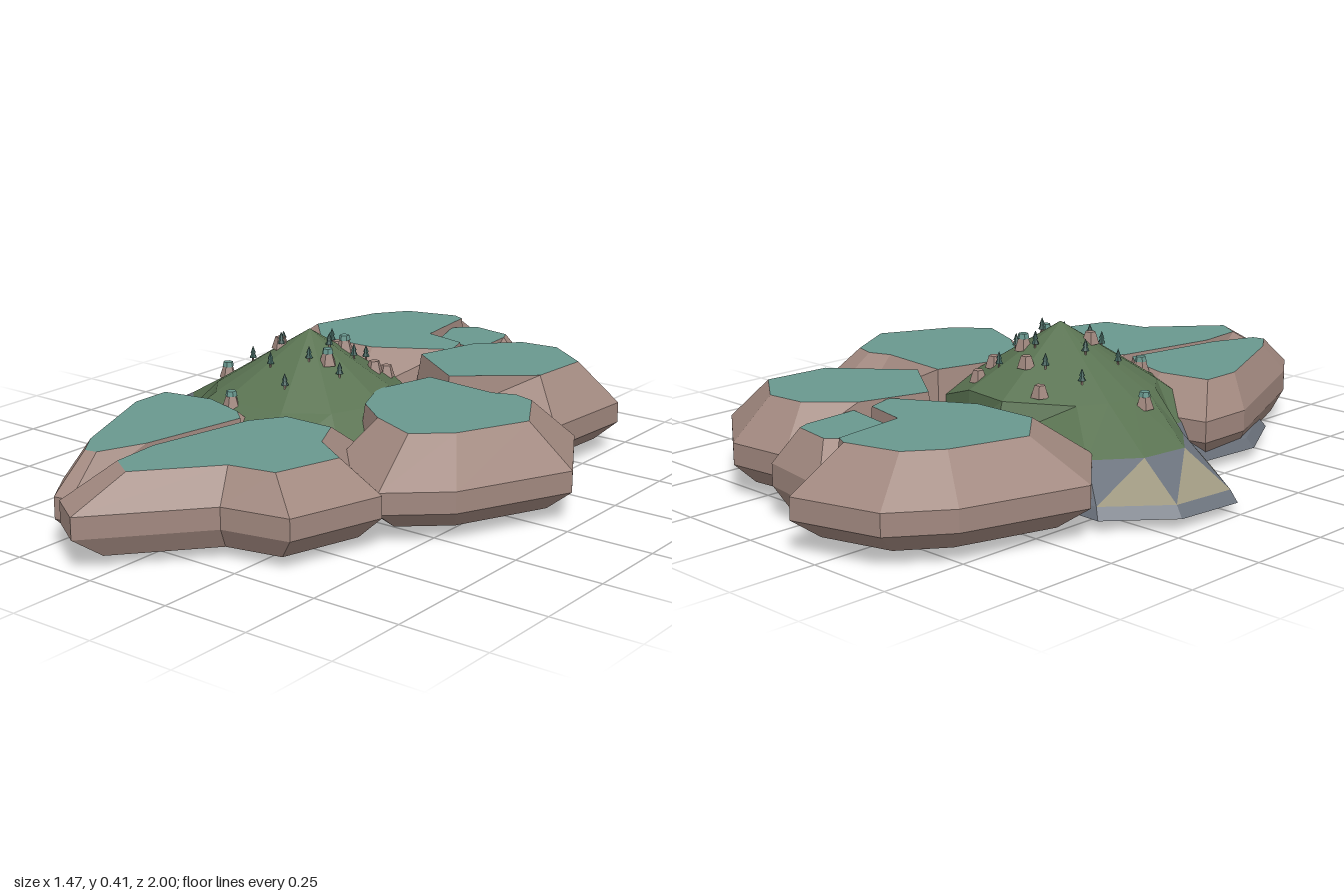
import * as THREE from 'three';

const mat = (color) => new THREE.MeshStandardMaterial({ color, flatShading: true });
const rock = mat(0xa1887f), water = mat(0x69988f), grass = mat(0x5a7352);
const slate = mat(0x6b727c), sand = mat(0x9c967e), dark = mat(0x33383c), pine = mat(0x3d5f58);

function meshOf(name, pos, material) {
  const g = new THREE.BufferGeometry();
  g.setAttribute('position', new THREE.Float32BufferAttribute(pos, 3));
  g.computeVertexNormals();
  const m = new THREE.Mesh(g, material);
  m.name = name;
  return m;
}

const ring = (pts, y) => pts.map(([x, z]) => [x, y, z]);
const flat = (pts) => pts.map(([x, z]) => new THREE.Vector2(x, -z));

// Quads between two rings that run anticlockwise seen from above
function band(lo, hi, pick) {
  lo.forEach((a, i) => {
    const j = (i + 1) % lo.length;
    pick(i, 0).push(...a, ...lo[j], ...hi[j]);
    pick(i, 1).push(...a, ...hi[j], ...hi[i]);
  });
}

function cap(pts, y, up) {
  const out = [];
  for (const t of THREE.ShapeUtils.triangulateShape(flat(pts), [])) {
    for (const k of up ? t : [t[0], t[2], t[1]]) out.push(pts[k][0], y, pts[k][1]);
  }
  return out;
}

// Rock slab with a pool: the rim slopes in toward the middle by a fraction,
// and stays steep at the first few points, which face a neighbour or the hill
function plateau(name, top, slope, steepCount, rim) {
  const mean = (axis) => rim.reduce((sum, p) => sum + p[axis], 0) / rim.length;
  const mx = mean(0), mz = mean(1);
  const inset = (amount) => rim.map(([x, z], i) => {
    const f = amount * (i < steepCount ? 0.06 : slope);
    return [x + (mx - x) * f, z + (mz - z) * f];
  });
  const clockwise = THREE.ShapeUtils.area(flat(rim)) < 0;
  const [outer, foot, shore] = [0, 0.55, 1].map((a) => (clockwise ? inset(a).reverse() : inset(a)));
  const rings = [ring(foot, 0.032), ring(outer, 0.09), ring(outer, 0.15), ring(shore, top)];
  const wall = cap(foot, 0.032, false);
  for (let i = 0; i < 3; i++) band(rings[i], rings[i + 1], () => wall);
  const group = new THREE.Group();
  group.name = name;
  group.add(meshOf('rockRim', wall, rock), meshOf('pool', cap(shore, top, true), water));
  return group;
}

// Island footprint, shared by the keel and the foot of the hill
const CX = -0.11;
const footprint = [[.45, -.21], [0, -.25], [-.16, -.34], [-.58, -.36], [-.72, -.2], [-.74, 0], [-.57, .13],
  [-.45, .18], [-.47, .42], [-.36, .62], [.13, .6], [.3, .33], [.4, .04]];
const scaled = (f, y) => ring(footprint.map(([x, z]) => [CX + (x - CX) * f, z * f]), y);

// Footprint drawn toward a circle about the summit: round = 1 is the full circle
const rounded = (radius, round, y) => ring(footprint.map(([x, z]) => {
  const f = 1 + (radius / Math.hypot(x - CX, z) - 1) * round;
  return [CX + (x - CX) * f, z * f];
}), y);

function hill() {
  const rings = [scaled(1, 0.03), scaled(0.96, 0.06), rounded(0.27, 0.5, 0.14),
    rounded(0.27, 1, 0.24), scaled(0.002, 0.41)];
  const green = [], grey = [], pale = [];
  band(rings[0], rings[1], () => grey);
  band(rings[1], rings[2], (i, half) => (i > 2 && i < 6 && half === 0 ? pale : grey));
  band(rings[2], rings[3], () => green);
  band(rings[3], rings[4], () => green);
  const group = new THREE.Group();
  group.name = 'hill';
  group.add(meshOf('grassSlope', green, grass), meshOf('slateShore', grey, slate), meshOf('sandPatches', pale, sand));
  return group;
}

// Shallow dark underside
function keel() {
  const pos = [];
  const rings = [scaled(0.002, 0), scaled(0.5, 0.009), scaled(1, 0.03)];
  band(rings[0], rings[1], () => pos);
  band(rings[1], rings[2], () => pos);
  return meshOf('keel', pos, dark);
}

function part(name, geometry, material, y) {
  const m = new THREE.Mesh(geometry, material);
  m.name = name;
  m.position.y = y;
  return m;
}

// Tapered hut, some with a coloured cap
function hut(capped) {
  const g = new THREE.Group();
  g.name = 'hut';
  g.add(part('hutBody', new THREE.CylinderGeometry(0.015, 0.026, 0.034, 5), rock, 0.01));
  if (capped) g.add(part('hutCap', new THREE.CylinderGeometry(0.014, 0.017, 0.014, 6), water, 0.034));
  return g;
}

function tree() {
  const g = new THREE.Group();
  g.name = 'tree';
  g.add(part('trunk', new THREE.CylinderGeometry(0.003, 0.003, 0.016, 5), rock, 0.004));
  g.add(part('lowerBranches', new THREE.ConeGeometry(0.011, 0.024, 6), pine, 0.022));
  g.add(part('upperBranches', new THREE.ConeGeometry(0.008, 0.02, 6), pine, 0.034));
  return g;
}

export function createModel() {
  const model = new THREE.Group();
  model.name = 'island';
  const mound = hill();
  model.add(keel(), mound);

  // Ring of plateaus
  model.add(plateau('frontRightPlateau', 0.24, 0.3, 2, [[-.06, .34], [-.115, .67], [-.15, .91], [-.2, .92],
    [-.28, .81], [-.47, .37], [-.47, .2], [-.26, .16], [-.07, .22]]));
  model.add(plateau('frontLeftPlateau', 0.24, 0.31, 2, [[-.05, .34], [-.11, .67], [-.17, .93], [-.06, 1],
    [.18, .72], [.37, .68], [.45, .41], [.28, .3], [.2, .14], [-.02, .14]]));
  model.add(plateau('leftPlateau', 0.265, 0.37, 3, [[.14, -.23], [.09, -.03], [.15, .11], [.2, .3],
    [.43, .4], [.58, .27], [.73, -.05], [.58, -.31], [.48, -.34], [.38, -.3]]));
  model.add(plateau('backLeftPlateau', 0.265, 0.4, 3, [[.19, -.24], [-.02, -.39], [.04, -.6], [.11, -.8],
    [.3, -.82], [.52, -.66], [.5, -.34]]));
  model.add(plateau('backPlateau', 0.245, 0.5, 3, [[.06, -.6], [-.11, -.63], [-.16, -.78], [-.15, -.9],
    [.085, -.86], [.115, -.79]]));
  model.add(plateau('backRightPlateau', 0.262, 0.38, 4, [[.05, -.5], [.02, -.59], [-.12, -.62], [-.15, -.85],
    [-.16, -1], [-.41, -.93], [-.52, -.78], [-.62, -.43], [-.44, -.23], [-.13, -.24]]));

  // Huts and trees dropped onto the slope
  mound.updateMatrixWorld(true);
  const ray = new THREE.Raycaster();
  const drop = (object, x, z, turn) => {
    ray.set(new THREE.Vector3(x, 2, z), new THREE.Vector3(0, -1, 0));
    object.position.set(x, ray.intersectObject(mound, true)[0].point.y, z);
    object.rotation.y = turn;
    model.add(object);
  };
  const huts = [[-.22, -.195], [-.125, -.15], [.02, -.19], [.025, -.125], [-.055, -.09], [-.18, .045],
    [-.41, .01], [-.01, .045], [-.18, .26]];
  huts.forEach(([x, z], i) => drop(hut(i > 5 || i === 4), x, z, i * 1.3));
  for (let i = 0; i < 13; i++) {
    const a = i * 2.4, r = 0.07 + 0.011 * i;
    drop(tree(), CX + r * Math.cos(a), r * Math.sin(a), a);
  }
  return model;
}
